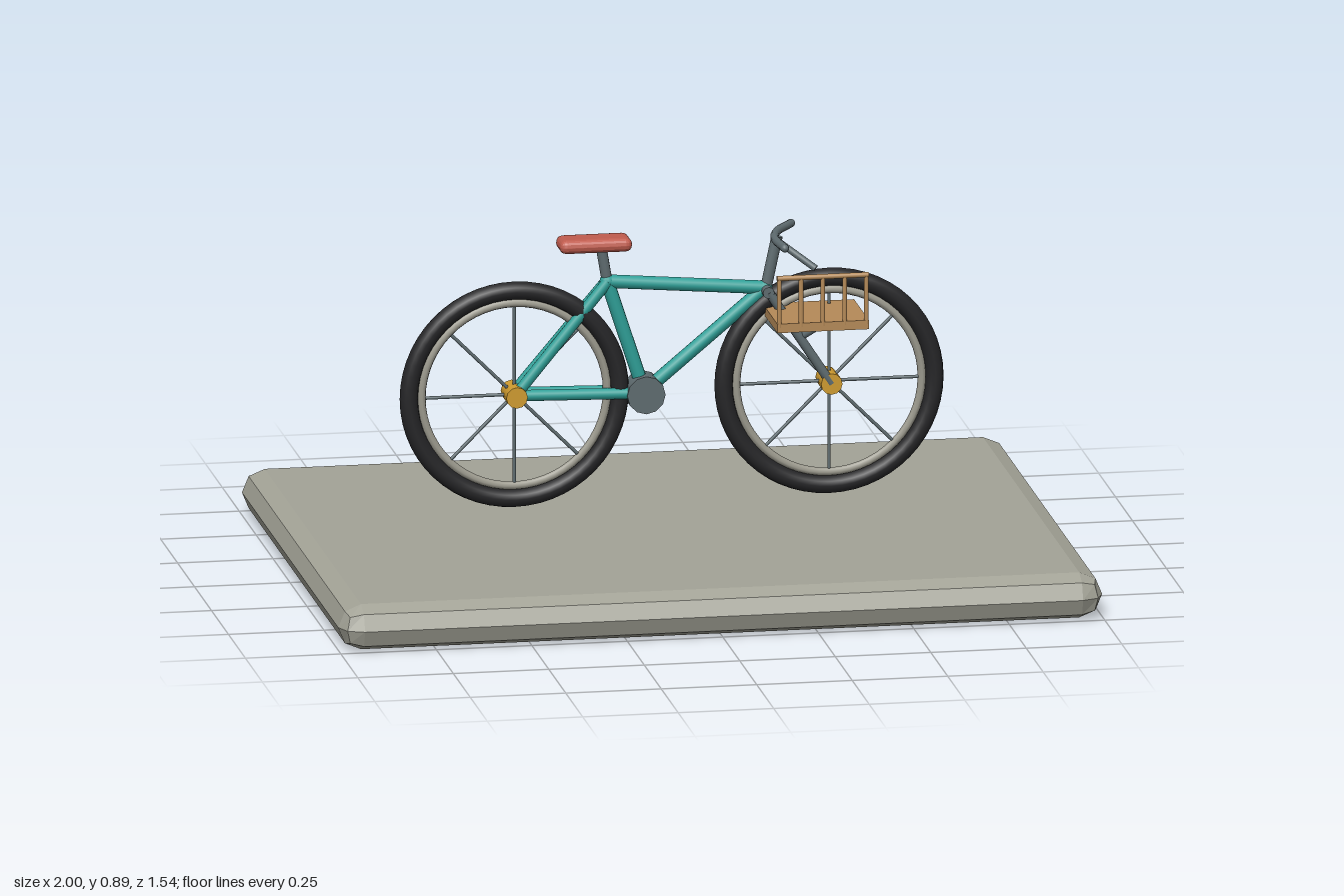
import * as THREE from 'three';
import { RoundedBoxGeometry } from 'three/addons/geometries/RoundedBoxGeometry.js';

const paint = (name, color, flat = false) => {
  const m = new THREE.MeshStandardMaterial({ color, flatShading: flat });
  m.name = name;
  return m;
};

export function createModel() {
  const stone = paint('stone', 0xa3a397, true);
  const rubber = paint('rubber', 0x252527);
  const rimMetal = paint('rimMetal', 0x9c9a8e);
  const steel = paint('steel', 0x5f6c70);
  const teal = paint('teal', 0x2fa098);
  const brass = paint('brass', 0xd09c30);
  const leather = paint('leather', 0xc05c4e, true);
  const wood = paint('wood', 0xb58a58);

  const bike = new THREE.Group();
  bike.name = 'bicycleOnPlinth';

  const add = (name, geometry, material, pos = [0, 0, 0], parent = bike) => {
    const mesh = new THREE.Mesh(geometry, material);
    mesh.name = name;
    mesh.position.set(...pos);
    parent.add(mesh);
    return mesh;
  };

  // Round bar between two points
  const bar = (name, a, b, radius, material, parent = bike) => {
    const from = new THREE.Vector3(...a);
    const dir = new THREE.Vector3(...b).sub(from);
    const mesh = add(name, new THREE.CylinderGeometry(radius, radius, dir.length(), 12), material, [0, 0, 0], parent);
    mesh.position.copy(from).addScaledVector(dir, 0.5);
    mesh.quaternion.setFromUnitVectors(new THREE.Vector3(0, 1, 0), dir.normalize());
    return mesh;
  };

  // Bevelled plinth
  add('plinth', new RoundedBoxGeometry(2, 0.12, 1.54, 1, 0.06), stone, [0, 0.06, 0]);

  // Wheels: tyre, rim, spokes and hub
  const hubY = 0.475;
  const rearX = -0.413, frontX = 0.411;
  for (const [name, x] of [['rearWheel', rearX], ['frontWheel', frontX]]) {
    const wheel = new THREE.Group();
    wheel.name = name;
    wheel.position.set(x, hubY, 0);
    bike.add(wheel);
    add('tyre', new THREE.TorusGeometry(0.276, 0.024, 12, 56), rubber, [0, 0, 0], wheel);
    add('rim', new THREE.TorusGeometry(0.243, 0.011, 8, 56), rimMetal, [0, 0, 0], wheel);
    for (let i = 0; i < 4; i++) {
      const a = (i * Math.PI) / 4;
      const c = Math.cos(a) * 0.24, s = Math.sin(a) * 0.24;
      bar('spokePair', [-c, -s, 0], [c, s, 0], 0.0045, steel, wheel);
    }
    bar('hub', [0, 0, -0.042], [0, 0, 0.042], 0.028, brass, wheel);
  }

  // Frame
  const crank = [-0.073, 0.467, 0];
  const seatTop = [-0.17, 0.765, 0];
  const head = [0.243, 0.73, 0];
  bar('seatTube', seatTop, crank, 0.018, teal);
  bar('topTube', seatTop, head, 0.018, teal);
  bar('downTube', head, crank, 0.018, teal);
  for (const z of [-0.016, 0.016]) {
    bar('seatStay', [rearX, hubY, z], [seatTop[0], seatTop[1], z * 0.4], 0.015, teal);
    bar('chainStay', [rearX, hubY, z], [crank[0], crank[1], z], 0.015, teal);
  }
  for (const p of [seatTop, head]) add('frameJoint', new THREE.SphereGeometry(0.02, 12, 8), teal, p);
  bar('crankDisc', [crank[0], 0.465, -0.035], [crank[0], 0.465, 0.035], 0.05, steel);

  // Saddle and post
  bar('seatPost', seatTop, [-0.186, 0.86, 0], 0.014, steel);
  add('saddle', new RoundedBoxGeometry(0.19, 0.037, 0.086, 2, 0.018), leather, [-0.204, 0.867, 0]);

  // Fork, steering stem and handlebar
  for (const z of [-0.032, 0.032]) {
    bar('forkBlade', [0.248, 0.725, z], [frontX, hubY, z], 0.012, steel);
  }
  bar('forkCrown', [0.246, 0.725, -0.042], [0.246, 0.725, 0.042], 0.015, steel);
  bar('stem', [0.243, 0.715, 0], [0.275, 0.865, 0], 0.015, steel);
  const grip = new THREE.CatmullRomCurve3([
    [0.333, 0.866, -0.122], [0.285, 0.866, -0.05], [0.264, 0.866, 0.03], [0.272, 0.866, 0.132],
  ].map((p) => new THREE.Vector3(...p)));
  add('handlebar', new THREE.TubeGeometry(grip, 20, 0.011, 10), steel);
  const ends = [[0.333, -0.122], [0.272, 0.132]];
  for (const [x, z] of ends) add('gripEnd', new THREE.SphereGeometry(0.011, 10, 8), steel, [x, 0.866, z]);
  bar('brakeLever', [0.268, 0.862, 0.03], [0.362, 0.795, 0.08], 0.009, steel);

  // Side basket: floor, outer railing and brace
  const basket = new THREE.Group();
  basket.name = 'basket';
  bike.add(basket);
  add('basketFloor', new THREE.BoxGeometry(0.24, 0.024, 0.22), wood, [0.362, 0.668, 0.08], basket);
  for (let i = 0; i < 5; i++) {
    const x = 0.248 + i * 0.057;
    bar('basketPost', [x, 0.67, 0.185], [x, 0.8, 0.185], 0.006, wood, basket);
  }
  bar('basketRail', [0.242, 0.8, 0.185], [0.482, 0.8, 0.185], 0.007, wood, basket);
  bar('basketBrace', [0.33, 0.598, 0.025], [0.41, 0.665, 0.08], 0.009, steel, basket);

  return bike;
}
